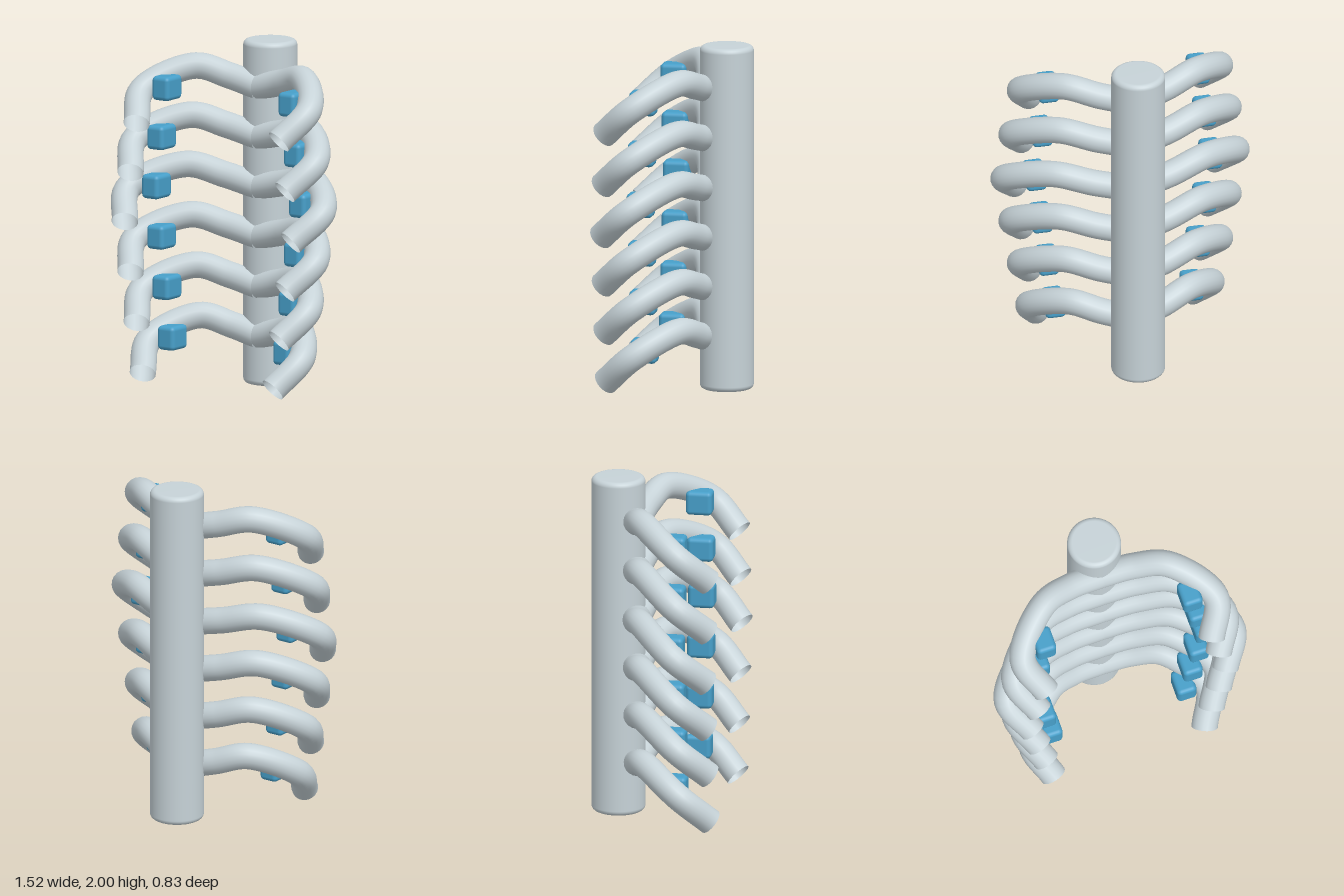
import * as THREE from 'three';
import { RoundedBoxGeometry } from 'three/addons/geometries/RoundedBoxGeometry.js';

const bone = new THREE.MeshStandardMaterial({ color: 0xc6d2d7, side: THREE.DoubleSide });
bone.name = 'pale grey';
const blue = new THREE.MeshStandardMaterial({ color: 0x479fc9 });
blue.name = 'blue';

const SPINE_RADIUS = 0.155;
const SPINE_Z = -0.262;
const RIB_RADIUS = 0.076;
const RIB_STEP = 0.29;
// Widest reach of each rib's centre line, from top to bottom
const REACH = [0.585, 0.635, 0.682, 0.635, 0.585, 0.535];

// Upright column with softly rounded rims
function makeSpine() {
  const bevel = 0.03;
  const profile = [new THREE.Vector2(0, 0)];
  for (let i = 0; i <= 5; i++) {
    const a = (i / 5) * Math.PI / 2;
    profile.push(new THREE.Vector2(SPINE_RADIUS - bevel + bevel * Math.sin(a), bevel - bevel * Math.cos(a)));
  }
  const upper = profile.map((p) => new THREE.Vector2(p.x, 2 - p.y)).reverse();
  const mesh = new THREE.Mesh(new THREE.LatheGeometry([...profile, ...upper], 48), bone);
  mesh.position.z = SPINE_Z;
  mesh.name = 'spine';
  return mesh;
}

// Half rib: rises from the spine, bows outward, then drops forward to an open end
function makeRib(side, reach) {
  const points = [
    [0, 0, -0.148],
    [0.325, 0.05, -0.122],
    [0.65, 0.097, -0.05],
    [1, -0.03, 0.18],
    [0.855, -0.192, 0.355],
  ].map(([x, y, z]) => new THREE.Vector3(side * reach * x, y, z));
  const curve = new THREE.CatmullRomCurve3(points);
  return new THREE.Mesh(new THREE.TubeGeometry(curve, 40, RIB_RADIUS, 20, false), bone);
}

export function createModel() {
  const model = new THREE.Group();
  model.name = 'ribCage';
  model.add(makeSpine());

  const blockGeometry = new RoundedBoxGeometry(0.117, 0.14, 0.152, 3, 0.025);

  REACH.forEach((reach, i) => {
    const pair = new THREE.Group();
    pair.name = `ribPair${i + 1}`;
    pair.position.y = 1.738 - i * RIB_STEP;
    for (const side of [1, -1]) {
      const label = side > 0 ? 'left' : 'right';
      const rib = makeRib(side, reach);
      rib.name = `${label}Rib`;

      // Small block tucked inside the bend
      const block = new THREE.Mesh(blockGeometry, blue);
      block.position.set(side * reach * 0.758, -0.008, 0.135);
      block.name = `${label}Block`;
      pair.add(rib, block);
    }
    model.add(pair);
  });
  return model;
}
